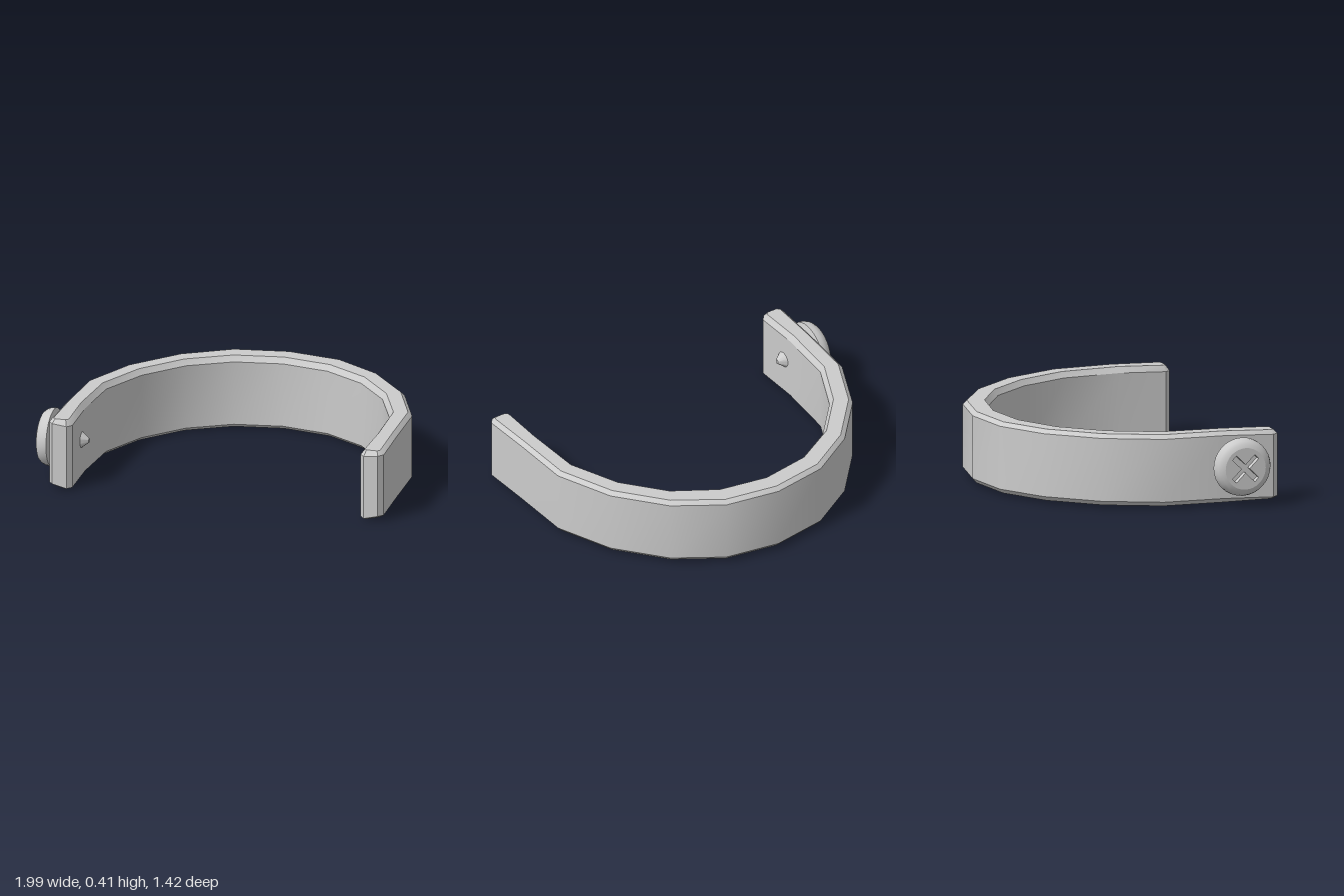
import * as THREE from 'three';
import { toCreasedNormals } from 'three/addons/utils/BufferGeometryUtils.js';

const material = new THREE.MeshStandardMaterial({ color: 0xcccccc });
const CENTRE_X = 0.045;

// Half plan outlines [x, z], from the open tip to the middle of the back
const OUTER = [[0.92, 0.71], [0.945, 0.68], [0.935, 0.4], [0.92, 0.06], [0.785, -0.25], [0.565, -0.505], [0.305, -0.665], [0, -0.715]];
const INNER = [[0.84, 0.71], [0.815, 0.68], [0.82, 0.42], [0.8, 0.09], [0.68, -0.18], [0.495, -0.395], [0.265, -0.53], [0, -0.575]];

const mirrored = (half) => [...half, ...half.slice(0, -1).reverse().map(([x, z]) => [-x, z])];

// Moves every corner of a closed outline inwards by d
function inset(loop, d) {
  const n = loop.length;
  const normal = (a, b) => new THREE.Vector2(a[1] - b[1], b[0] - a[0]).normalize();
  return loop.map((p, i) => {
    const n1 = normal(loop[(i + n - 1) % n], p);
    const n2 = normal(p, loop[(i + 1) % n]);
    const k = d / (1 + n1.dot(n2));
    return [p[0] - (n1.x + n2.x) * k, p[1] - (n1.y + n2.y) * k];
  });
}

// U-shaped band with bevelled edges
function bandGeometry() {
  const loop = [...mirrored(OUTER), ...mirrored(INNER).reverse()];
  const small = inset(loop, 0.022);
  const n = loop.length, half = n / 2;
  const ring = (pts, outerY, innerY, tipDrop) => pts.map(([x, z], i) =>
    [x + CENTRE_X, (i < half ? outerY : innerY) - (z > 0.6 ? tipDrop : 0), z]);
  const rings = [
    ring(small, 0.015, 0, -0.003),
    ring(loop, 0.04, 0.02, 0.008),
    ring(loop, 0.388, 0.378, 0.01),
    ring(small, 0.41, 0.41, 0.01),
  ];
  const pos = [];
  const quad = (a, b, c, d) => pos.push(...a, ...b, ...c, ...a, ...c, ...d);

  // Bevels and walls
  for (let r = 0; r < 3; r++) {
    for (let i = 0; i < n; i++) {
      const j = (i + 1) % n;
      quad(rings[r][i], rings[r][j], rings[r + 1][j], rings[r + 1][i]);
    }
  }
  // Top and bottom faces
  const [low, , , top] = rings;
  for (let i = 0; i < half - 1; i++) {
    const a = n - 1 - i;
    quad(top[i], top[i + 1], top[a - 1], top[a]);
    quad(low[a], low[a - 1], low[i + 1], low[i]);
  }
  const g = new THREE.BufferGeometry();
  g.setAttribute('position', new THREE.Float32BufferAttribute(pos, 3));
  return toCreasedNormals(g, 0.6);
}

// Cross-shaped recess outline, turned by 45 degrees
function crossPath(arm, w) {
  const pts = [];
  for (let k = 0; k < 4; k++) {
    for (const [x, y] of [[w, w], [w, arm], [-w, arm]]) {
      pts.push(new THREE.Vector2(x, y).rotateAround(new THREE.Vector2(), Math.PI / 4 + k * Math.PI / 2));
    }
  }
  return new THREE.Path(pts);
}

function addMesh(parent, name, geometry) {
  const mesh = new THREE.Mesh(geometry, material);
  mesh.name = name;
  parent.add(mesh);
  return mesh;
}

function createScrew() {
  const screw = new THREE.Group();
  screw.name = 'screw';

  // Pointed shaft and rounded head, turned about the screw axis
  const profile = [[0, 0.73], [0.012, 0.733], [0.045, 0.775], [0.045, 0.895], [0.16, 0.93],
    [0.158, 0.955], [0.149, 0.977], [0.135, 0.992], [0.115, 1]].map(([r, h]) => new THREE.Vector2(r, h));
  addMesh(screw, 'screwShaftAndHead', toCreasedNormals(new THREE.LatheGeometry(profile, 32), 0.6));

  // Head face with the driver recess
  const face = new THREE.Shape().absarc(0, 0, 0.115, 0, Math.PI * 2);
  face.holes.push(crossPath(0.09, 0.016));
  const faceGeometry = new THREE.ExtrudeGeometry(face, { depth: 0.035, bevelEnabled: false, curveSegments: 16 });
  faceGeometry.rotateX(-Math.PI / 2).translate(0, 0.965, 0);
  addMesh(screw, 'screwHeadFace', faceGeometry);

  const floor = new THREE.CircleGeometry(0.11, 32).rotateX(-Math.PI / 2).translate(0, 0.967, 0);
  addMesh(screw, 'recessFloor', floor);

  screw.rotation.z = Math.PI / 2;
  screw.position.set(0, 0.22, 0.485);
  return screw;
}

export function createModel() {
  const model = new THREE.Group();
  model.name = 'openCuff';
  addMesh(model, 'band', bandGeometry());
  model.add(createScrew());
  return model;
}
